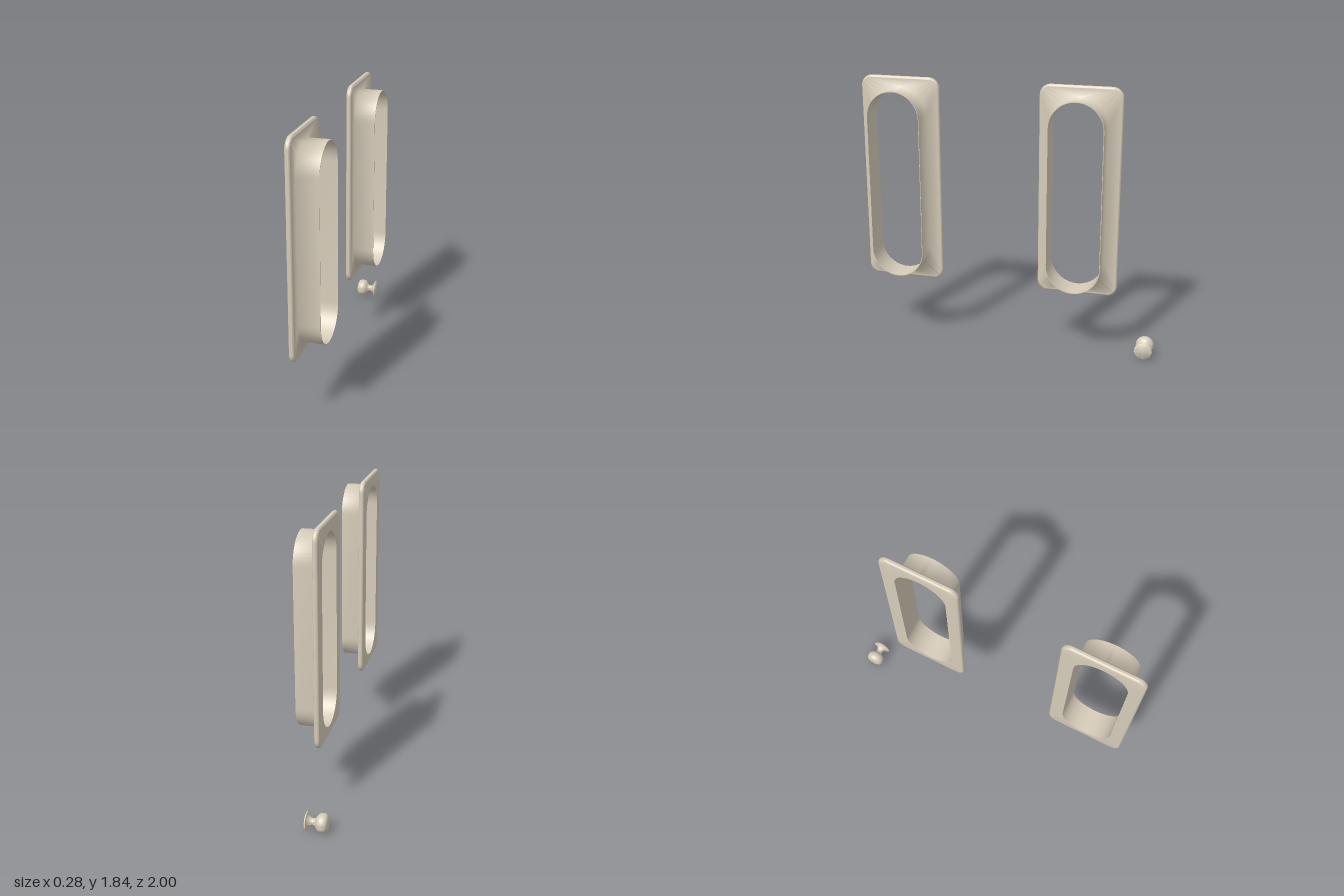
import * as THREE from 'three';
import { toCreasedNormals } from 'three/addons/utils/BufferGeometryUtils.js';

const ARC = 12; // segments per quarter-circle corner

// Closed rounded-rectangle ring in the plane of constant x; every ring has the same point count
function ring(x, y, z, halfH, halfW, r) {
  const pts = [];
  for (let q = 0; q < 4; q++) {
    const sz = q === 0 || q === 3 ? 1 : -1;
    const sy = q < 2 ? 1 : -1;
    for (let i = 0; i <= ARC; i++) {
      const a = (q + i / ARC) * Math.PI / 2;
      pts.push([x, y + sy * (halfH - r) + r * Math.sin(a), z + sz * (halfW - r) + r * Math.cos(a)]);
    }
  }
  return pts;
}

// Skin a sequence of rings: faces outward when the rings run towards -x, inward towards +x
function loft(rings, crease) {
  const n = rings[0].length, index = [];
  for (let k = 0; k < rings.length - 1; k++) {
    for (let i = 0; i < n; i++) {
      // the middle of each straight side joins two corner arcs
      const j = (i + 1) % n;
      const a = k * n + i, b = k * n + j, c = a + n, d = b + n;
      index.push(a, b, c, b, d, c);
    }
  }
  const g = new THREE.BufferGeometry();
  g.setAttribute('position', new THREE.Float32BufferAttribute(rings.flat(2), 3));
  g.setIndex(index);
  return toCreasedNormals(g, crease);
}

export function createModel() {
  const group = new THREE.Group();
  group.name = 'doorHardware';
  const material = new THREE.MeshStandardMaterial({ color: 0xd6ccb9 });

  const add = (parent, name, geometry) => {
    const mesh = new THREE.Mesh(geometry, material);
    mesh.name = name;
    parent.add(mesh);
    return mesh;
  };

  // Two flush pulls: sleeve outside flowing softly into a rounded face plate
  const T = 0.035, H = 0.701, W = 0.269, BEVEL = 0.015, DEPTH = 0.14, WALL = 0.004;
  const slot = (x, inset) => ring(x, -0.01, 0.004, 0.637 - inset, 0.18 - inset, 0.18 - inset);
  const edge = (x, inset) => ring(x, 0, 0, H - inset, W - inset, 0.072 - inset);
  const bodyRings = [slot(DEPTH, 0), slot(0, 0)];
  for (let s = 0; s < 2; s++) {
    const cx = s === 0 ? -BEVEL : -T + BEVEL;
    for (let i = 0; i <= 5; i++) {
      const a = (s + i / 5) * Math.PI / 2;
      bodyRings.push(edge(cx + BEVEL * Math.cos(a), BEVEL * (1 - Math.sin(a))));
    }
  }
  bodyRings.push(slot(-T, WALL));
  const body = loft(bodyRings, 1.7);

  // Inside of the sleeve with its thin end rim
  const lining = loft([slot(-T, WALL), slot(DEPTH, WALL), slot(DEPTH, 0)], 0.6);

  [['frontPull', 0.731], ['rearPull', -0.477]].forEach(([name, z]) => {
    const pull = new THREE.Group();
    pull.name = name;
    pull.position.set(0, 1.135, z);
    add(pull, 'facePlateAndSleeve', body);
    add(pull, 'sleeveLining', lining);
    group.add(pull);
  });

  // Small turned knob: flattened ball, waisted neck, flared foot
  const path = new THREE.SplineCurve([
    [0.036, -0.139], [0.05, -0.133], [0.059, -0.119], [0.061, -0.104], [0.057, -0.085],
    [0.044, -0.071], [0.029, -0.062], [0.023, -0.05], [0.023, -0.038], [0.029, -0.025],
    [0.041, -0.014], [0.06, -0.008],
  ].map(([r, x]) => new THREE.Vector2(r, x)));
  const profile = [
    new THREE.Vector2(0, -0.141), new THREE.Vector2(0.02, -0.141),
    ...path.getPoints(44),
    new THREE.Vector2(0.061, -0.003), new THREE.Vector2(0.058, 0), new THREE.Vector2(0, 0),
  ];
  const knob = add(group, 'knob', toCreasedNormals(new THREE.LatheGeometry(profile, 40), 1));
  knob.rotation.z = -Math.PI / 2;
  knob.position.set(0, 0.061, -0.939);

  return group;
}
